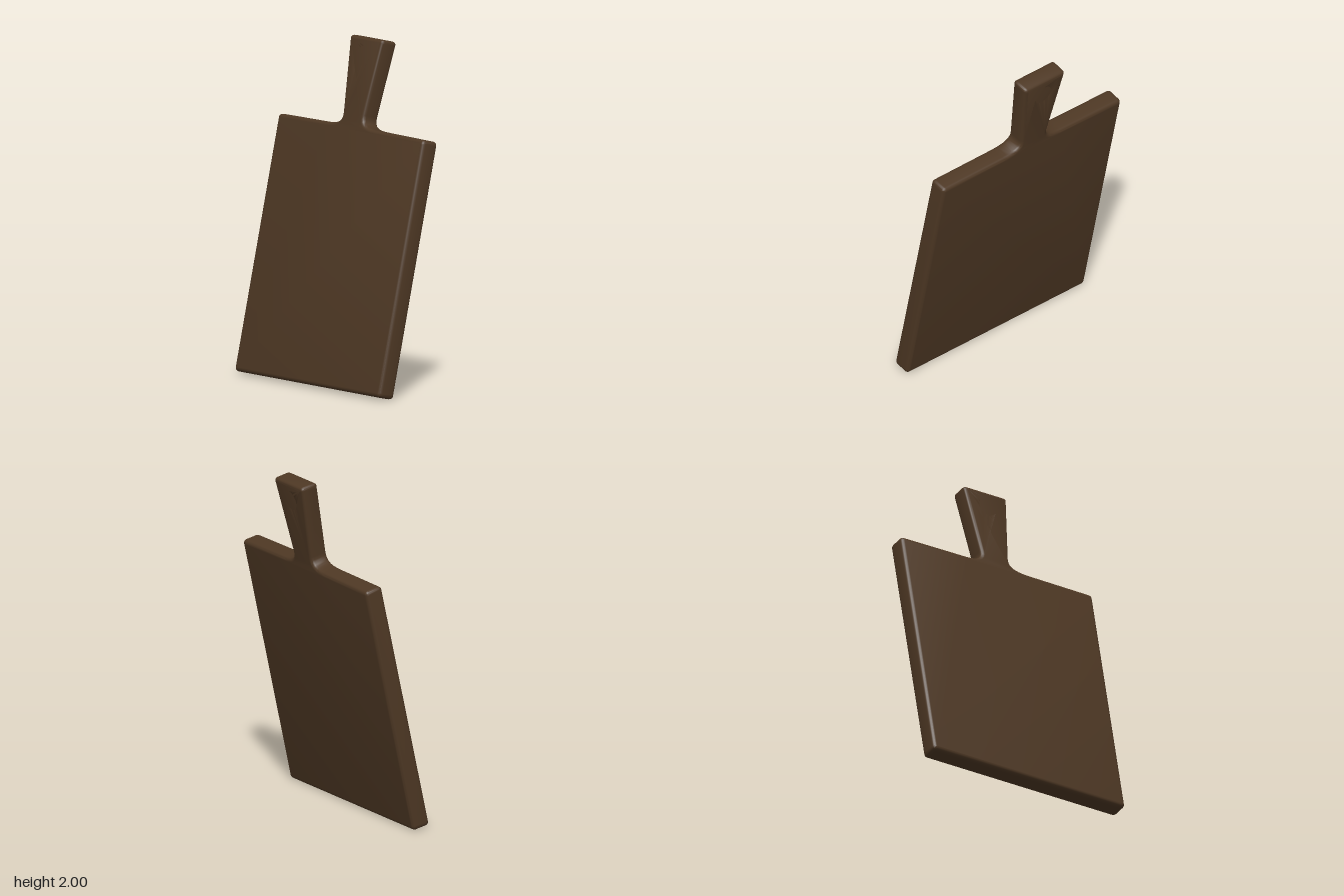
import * as THREE from 'three';
import { toCreasedNormals } from 'three/addons/utils/BufferGeometryUtils.js';

export function createModel() {
  const group = new THREE.Group();
  group.name = 'cuttingBoard';
  const wood = new THREE.MeshStandardMaterial({ color: 0x4e3824 });
  wood.name = 'dark wood';

  const halfWidth = 0.685, shoulder = 1.51, length = 2.035;
  const thickness = 0.112, bevel = 0.022, r = 0.026;

  // Right half of the outline, from bottom centre to top centre
  const half = new THREE.Path();
  half.moveTo(0, 0);
  half.lineTo(halfWidth - r, 0);
  half.quadraticCurveTo(halfWidth, 0, halfWidth, r);
  half.lineTo(halfWidth, shoulder - r);
  half.quadraticCurveTo(halfWidth, shoulder, halfWidth - r, shoulder);
  half.lineTo(0.22, shoulder + 0.004);
  half.bezierCurveTo(0.14, shoulder + 0.008, 0.094, shoulder + 0.02, 0.1, shoulder + 0.075);
  half.lineTo(0.152, length - r);
  half.quadraticCurveTo(0.156, length, 0.156 - r, length);
  half.lineTo(0, length);

  // Mirror it to close the outline
  const right = half.getPoints(8);
  const left = right.slice(1, -1).reverse().map((p) => new THREE.Vector2(-p.x, p.y));
  const outline = new THREE.Shape([...right, ...left]);

  // Hanging hole, flared by the bevel on both faces
  const hole = new THREE.Path();
  hole.absarc(0, 1.925, 0.037, 0, Math.PI * 2, true);
  outline.holes.push(hole);

  const geometry = new THREE.ExtrudeGeometry(outline, {
    depth: thickness - 2 * bevel,
    bevelEnabled: true,
    bevelThickness: bevel,
    bevelSize: bevel,
    bevelOffset: -bevel,
    bevelSegments: 4,
    curveSegments: 20,
  });

  // Lean the board back, then centre it on the ground
  geometry.rotateX(-0.217);
  geometry.computeBoundingBox();
  const box = geometry.boundingBox;
  geometry.translate(0, -box.min.y, -(box.min.z + box.max.z) / 2);

  const board = new THREE.Mesh(toCreasedNormals(geometry, 0.6), wood);
  board.name = 'boardWithHandle';
  group.add(board);
  return group;
}
